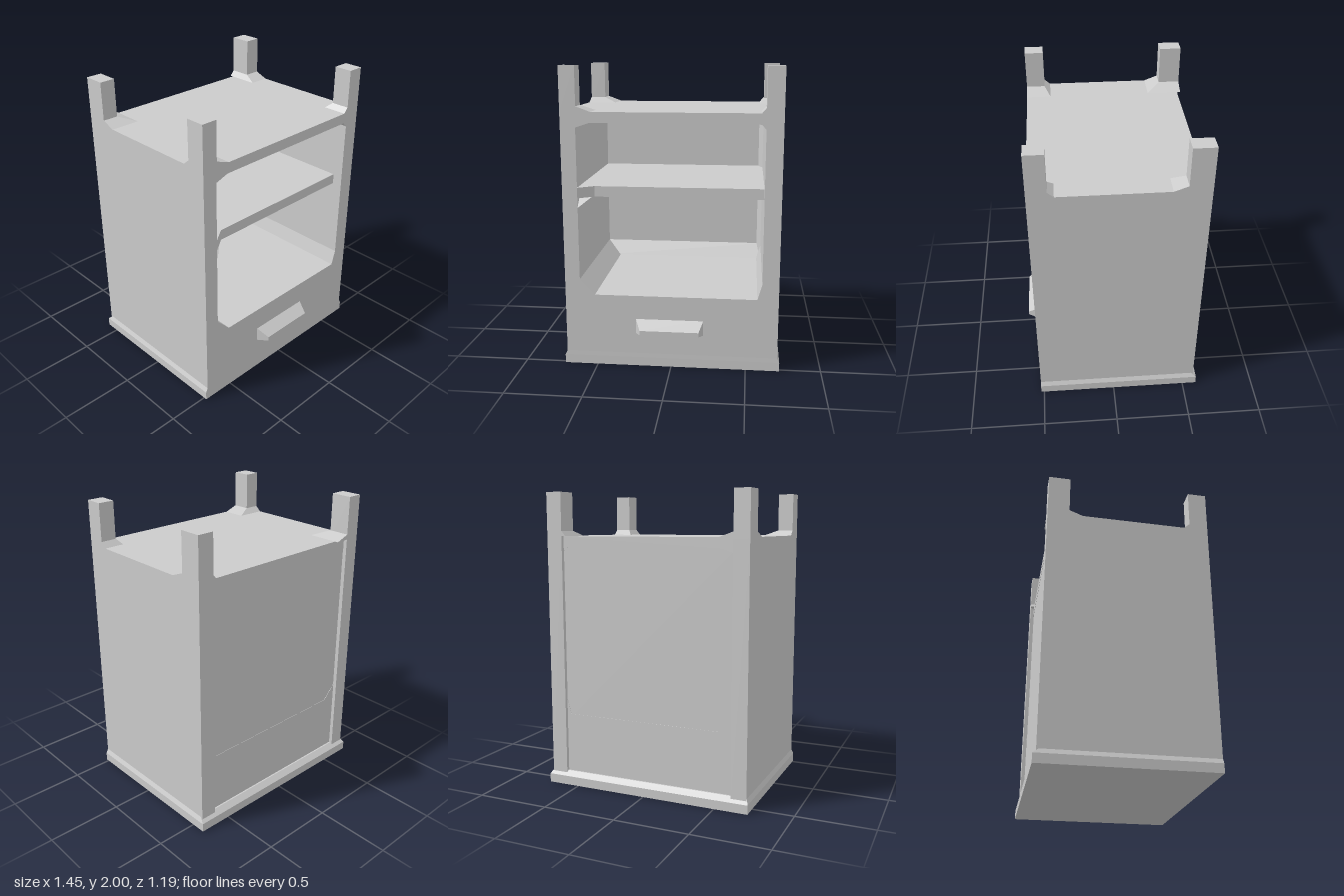
import * as THREE from 'three';

const material = new THREE.MeshStandardMaterial({ color: 0xcccccc, flatShading: true });

function add(group, name, geometry) {
  const mesh = new THREE.Mesh(geometry, material);
  mesh.name = name;
  group.add(mesh);
  return mesh;
}

// Box from its lower and upper limits on each axis
function box(x0, x1, y0, y1, z0, z1) {
  return new THREE.BoxGeometry(x1 - x0, y1 - y0, z1 - z0)
    .translate((x0 + x1) / 2, (y0 + y1) / 2, (z0 + z1) / 2);
}

// Six-sided solid whose bottom and top rectangles [x0, x1, z0, z1] differ
function taper(bottom, y0, top, y1) {
  const g = new THREE.BoxGeometry(1, 1, 1);
  const p = g.attributes.position;
  for (let i = 0; i < p.count; i++) {
    const up = p.getY(i) > 0;
    const r = up ? top : bottom;
    p.setXYZ(i, p.getX(i) > 0 ? r[1] : r[0], up ? y1 : y0, p.getZ(i) > 0 ? r[3] : r[2]);
  }
  g.computeVertexNormals();
  return g;
}

function polygon(points, Type = THREE.Shape) {
  return new Type(points.map(([x, y]) => new THREE.Vector2(x, y)));
}

function extrude(shape, depth) {
  return new THREE.ExtrudeGeometry(shape, { depth, bevelEnabled: false });
}

// Profile given as [z, y], swept along x
function sweepX(points, x0, x1) {
  return extrude(polygon(points.map(([z, y]) => [-z, y])), x1 - x0)
    .rotateY(Math.PI / 2).translate(x0, 0, 0);
}

// Plan outline given as [x, z], raised from y0 to y1
function raise(points, y0, y1) {
  return extrude(polygon(points.map(([x, z]) => [x, -z])), y1 - y0)
    .rotateX(-Math.PI / 2).translate(0, y0, 0);
}

export function createModel() {
  const group = new THREE.Group();
  group.name = 'cabinet';

  // Carcass: sides, top and drawer block around one chamfered opening
  const shell = polygon([[-0.71, 0.02], [0.71, 0.02], [0.71, 1.71], [-0.71, 1.71]]);
  shell.holes.push(polygon([
    [-0.61, 0.6], [-0.61, 1.61], [-0.52, 1.64], [0.57, 1.64],
    [0.6, 1.61], [0.6, 0.6], [0.57, 0.495], [-0.51, 0.495],
  ], THREE.Path));
  add(group, 'carcass', extrude(shell, 1.07).translate(0, 0, -0.55));
  add(group, 'backPanel', box(-0.65, 0.65, 0.4, 1.68, -0.548, -0.51));

  // Shelf, set back from the front with an angled left corner
  add(group, 'shelf', raise([
    [-0.62, -0.52], [0.61, -0.52], [0.61, 0.45], [-0.51, 0.45], [-0.61, 0.52], [-0.62, 0.52],
  ], 1.15, 1.22));

  // Sloped fillets where floor, shelf and ceiling meet the back
  add(group, 'floorFillet', sweepX([[-0.52, 0.48], [-0.44, 0.48], [-0.44, 0.495], [-0.51, 0.6], [-0.52, 0.6]], -0.61, 0.6));
  add(group, 'shelfFillet', sweepX([[-0.52, 1.16], [-0.52, 1.09], [-0.51, 1.09], [-0.42, 1.15], [-0.42, 1.16]], -0.61, 0.6));
  add(group, 'ceilingFillet', sweepX([[-0.52, 1.65], [-0.52, 1.59], [-0.51, 1.59], [-0.42, 1.64], [-0.42, 1.65]], -0.61, 0.6));
  add(group, 'cornerFillet', raise([[0.61, -0.52], [0.57, -0.52], [0.57, -0.51], [0.6, -0.43], [0.61, -0.43]], 0.495, 1.62));

  // Shelf end bracket on the left wall
  add(group, 'shelfBracket', taper([-0.62, -0.605, -0.52, 0.52], 1.09, [-0.62, -0.52, -0.52, 0.45], 1.155));

  // Corner posts with flared feet; order: x range, foot x range, z range, foot z range
  const xs = [
    { side: 'right', post: [-0.71, -0.605], foot: [-0.71, -0.51] },
    { side: 'left', post: [0.6, 0.71], foot: [0.57, 0.71] },
  ];
  const zs = [
    { end: 'Front', post: [0.395, 0.52], foot: [0.355, 0.52] },
    { end: 'Back', post: [-0.575, -0.43], foot: [-0.575, -0.34] },
  ];
  for (const x of xs) {
    for (const z of zs) {
      const top = [...x.post, ...z.post];
      add(group, `${x.side}${z.end}Post`, box(x.post[0], x.post[1], 1.7, 2, z.post[0], z.post[1]));
      add(group, `${x.side}${z.end}PostFoot`, taper([...x.foot, ...z.foot], 1.71, top, 1.745));
    }
    // Upright strip standing proud of the back panel
    add(group, `${x.side}BackUpright`, box(x.post[0], x.post[1], 0.05, 1.715, -0.575, -0.54));
  }

  // Plinth with a sloped upper edge
  const plinth = [-0.725, 0.725, -0.597, 0.521];
  add(group, 'plinth', taper(plinth, 0, plinth, 0.06));
  add(group, 'plinthSlope', taper(plinth, 0.06, [-0.71, 0.71, -0.56, 0.52], 0.09));

  // Drawer handle, narrowing towards its front edge
  const handle = taper([-0.24, 0.22, -0.34, -0.23], 0.51, [-0.2, 0.19, -0.28, -0.25], 0.597);
  add(group, 'drawerHandle', handle.rotateX(Math.PI / 2));

  return group;
}
